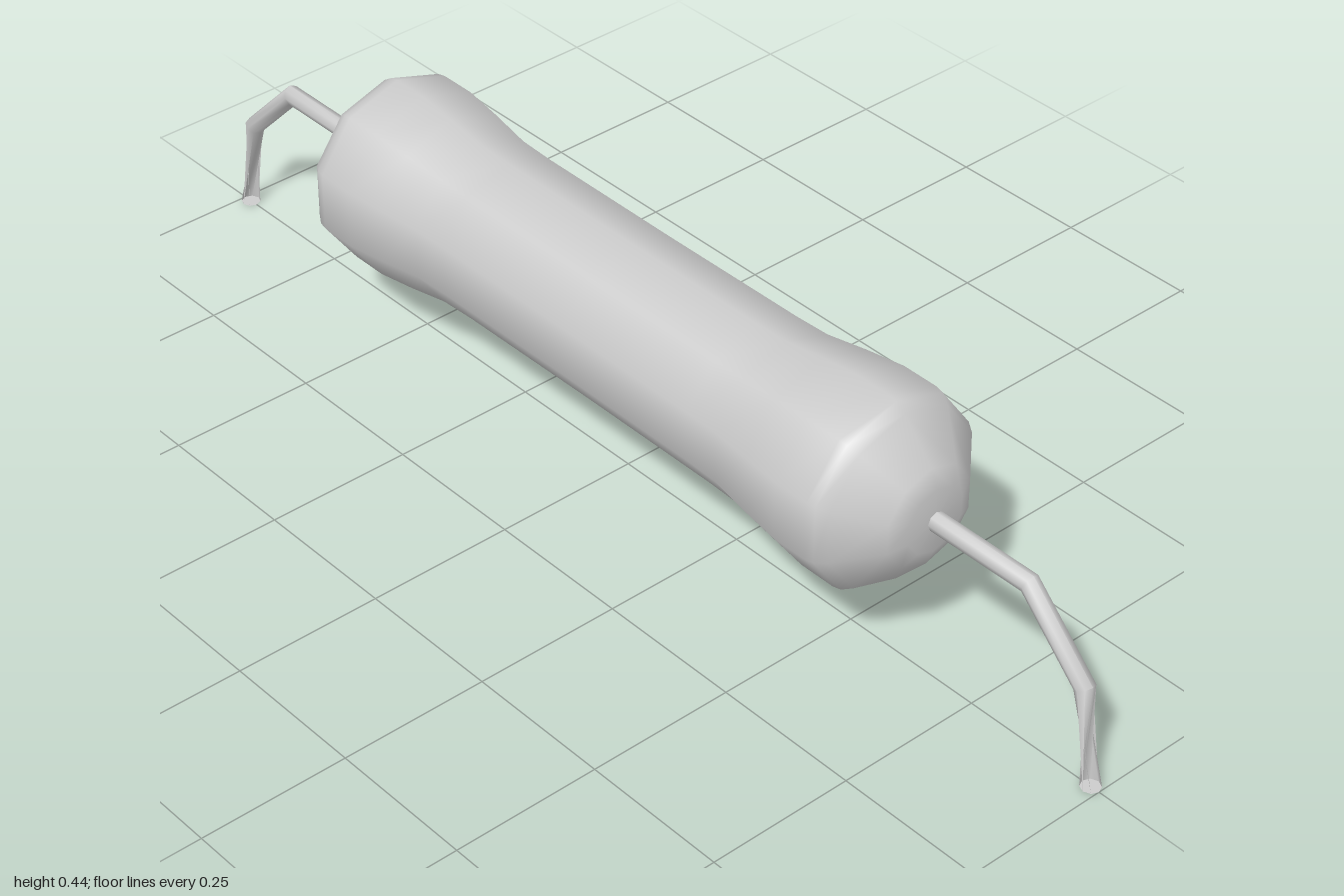
import * as THREE from 'three';
import { toCreasedNormals } from 'three/addons/utils/BufferGeometryUtils.js';

const CENTRE_Y = 0.28;
const material = new THREE.MeshStandardMaterial({ color: 0xcccccc });

// Ten-sided body: swollen rounded ends and a slimmer waist, along x.
function bodyGeometry() {
  const half = [[0, 0.66], [0.055, 0.658], [0.085, 0.645], [0.148, 0.588],
    [0.16, 0.57], [0.163, 0.555], [0.163, 0.49], [0.154, 0.42], [0.142, 0.345], [0.14, 0.28]];
  const profile = [
    ...half.map(([r, x]) => new THREE.Vector2(r, -x)),
    new THREE.Vector2(0.139, 0),
    ...half.slice().reverse().map(([r, x]) => new THREE.Vector2(r, x)),
  ];
  return new THREE.LatheGeometry(profile, 10, Math.PI / 2).rotateZ(-Math.PI / 2);
}

// Bent wire: a cylinder whose rings are moved to mitred joints of a path in the xy plane.
function wireGeometry(path, radius) {
  const rows = path.length - 1;
  const normals = path.slice(1).map((p, i) => {
    const t = p.clone().sub(path[i]).normalize();
    return new THREE.Vector2(t.y, -t.x);
  });
  const mitres = path.map((p, i) => {
    const a = normals[Math.max(i - 1, 0)], b = normals[Math.min(i, rows - 1)];
    return a.clone().add(b).divideScalar(1 + a.dot(b));
  });
  mitres[rows].set(1, 0); // foot cut level with the ground
  const geometry = new THREE.CylinderGeometry(radius, radius, rows, 8, rows);
  const pos = geometry.attributes.position;
  for (let v = 0; v < pos.count; v++) {
    const row = Math.round(pos.getY(v) + rows / 2);
    const across = pos.getX(v);
    pos.setXY(v, path[row].x + mitres[row].x * across, path[row].y + mitres[row].y * across);
  }
  return toCreasedNormals(geometry, Math.PI / 3);
}

export function createModel() {
  const model = new THREE.Group();
  model.name = 'resistor';

  const body = new THREE.Mesh(bodyGeometry(), material);
  body.name = 'body';
  body.position.y = CENTRE_Y;
  model.add(body);

  // Matching wire leads, bent down to the ground at both ends
  const path = [[0.62, CENTRE_Y], [0.842, CENTRE_Y], [0.957, 0.166], [0.984, 0]]
    .map(([x, y]) => new THREE.Vector2(x, y));
  const wire = wireGeometry(path, 0.016);
  ['leftLead', 'rightLead'].forEach((name, i) => {
    const lead = new THREE.Mesh(wire, material);
    lead.name = name;
    lead.rotation.y = i * Math.PI;
    model.add(lead);
  });
  return model;
}
